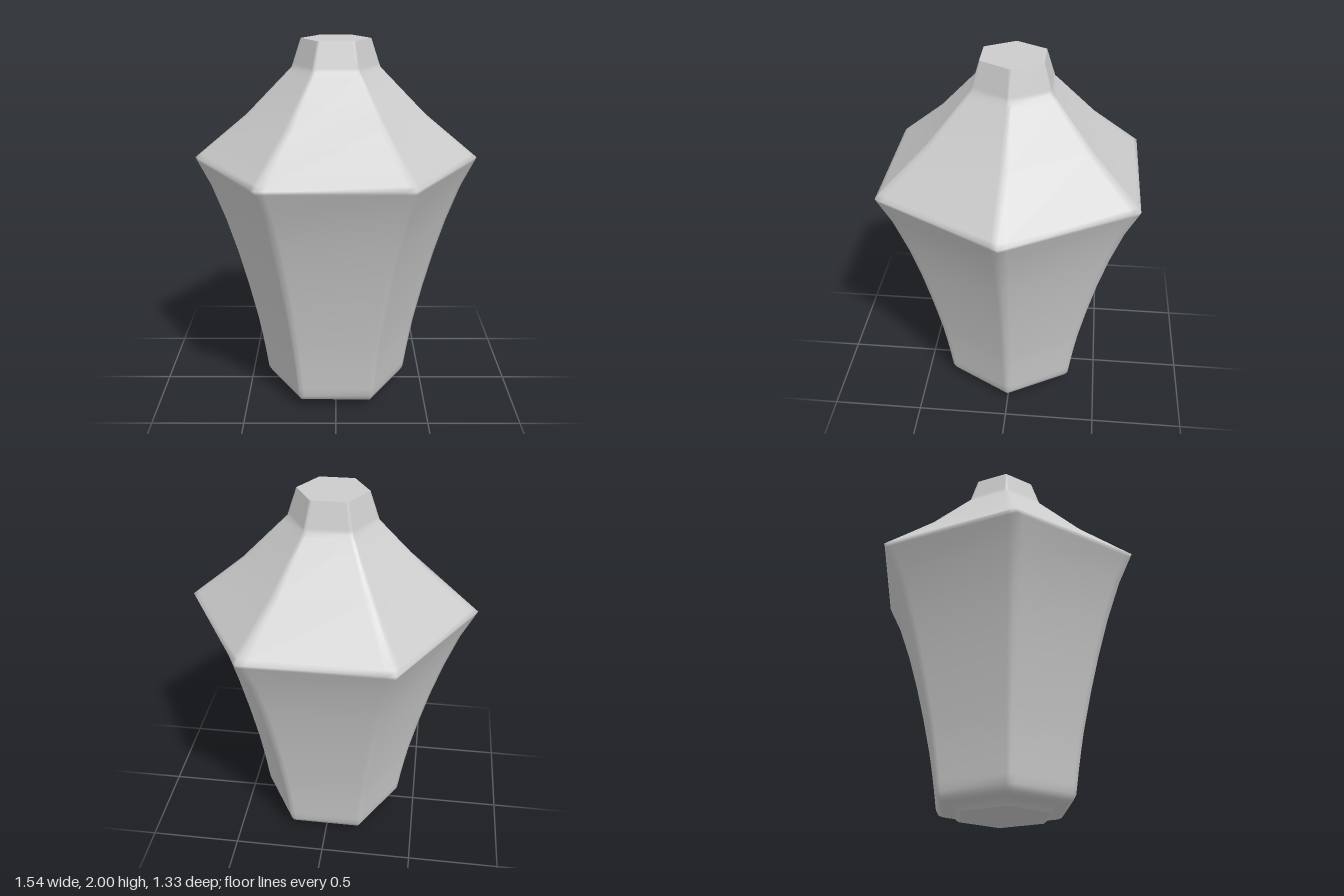
import * as THREE from 'three';

// Corner radius and height, bottom to top
const PROFILE = [
  [0.26, 0], [0.29, 0.025], [0.35, 0.033], [0.38, 0.045], [0.398, 0.075], [0.405, 0.12],
  [0.417, 0.2], [0.434, 0.3], [0.453, 0.4], [0.5, 0.6], [0.553, 0.8], [0.615, 1.0],
  [0.69, 1.2], [0.761, 1.34], [0.77, 1.36], [0.745, 1.38], [0.48, 1.6],
  [0.26, 1.825], [0.235, 1.85], [0.228, 1.87], [0.185, 2],
];
const SIDES = 6;
const EDGE = 0.06; // support points beside each corner keep the faces flat and the edges soft

// Points around a unit hexagon, with a corner on the x axis
function hexagonLoop() {
  const corner = i => new THREE.Vector2(Math.cos(i * Math.PI / 3), Math.sin(i * Math.PI / 3));
  const points = [];
  for (let i = 0; i < SIDES; i++) {
    for (const t of [0, EDGE, 1 - EDGE]) points.push(corner(i).lerp(corner(i + 1), t));
  }
  return points;
}

// Smooth skin through the scaled hexagons
function bodyGeometry() {
  const loop = hexagonLoop(), n = loop.length;
  const positions = [], index = [];
  PROFILE.forEach(([r, y], row) => {
    loop.forEach((p, i) => {
      positions.push(p.x * r, y, p.y * r);
      if (row === PROFILE.length - 1) return;
      const a = row * n + i, b = row * n + (i + 1) % n;
      index.push(a, a + n, b, b, a + n, b + n);
    });
  });
  const geometry = new THREE.BufferGeometry();
  geometry.setAttribute('position', new THREE.Float32BufferAttribute(positions, 3));
  geometry.setIndex(index);
  geometry.computeVertexNormals();
  return geometry;
}

export function createModel() {
  const group = new THREE.Group();
  group.name = 'hexagonalVase';
  const material = new THREE.MeshStandardMaterial({ color: 0xcccccc });

  const add = (name, geometry) => {
    const mesh = new THREE.Mesh(geometry, material);
    mesh.name = name;
    group.add(mesh);
  };

  add('body', bodyGeometry());

  // Flat hexagonal ends
  const [topRadius, topY] = PROFILE[PROFILE.length - 1];
  const [baseRadius, baseY] = PROFILE[0];
  add('topCap', new THREE.CircleGeometry(topRadius, SIDES).rotateX(-Math.PI / 2).translate(0, topY, 0));
  add('baseCap', new THREE.CircleGeometry(baseRadius, SIDES).rotateX(Math.PI / 2).translate(0, baseY, 0));
  return group;
}
